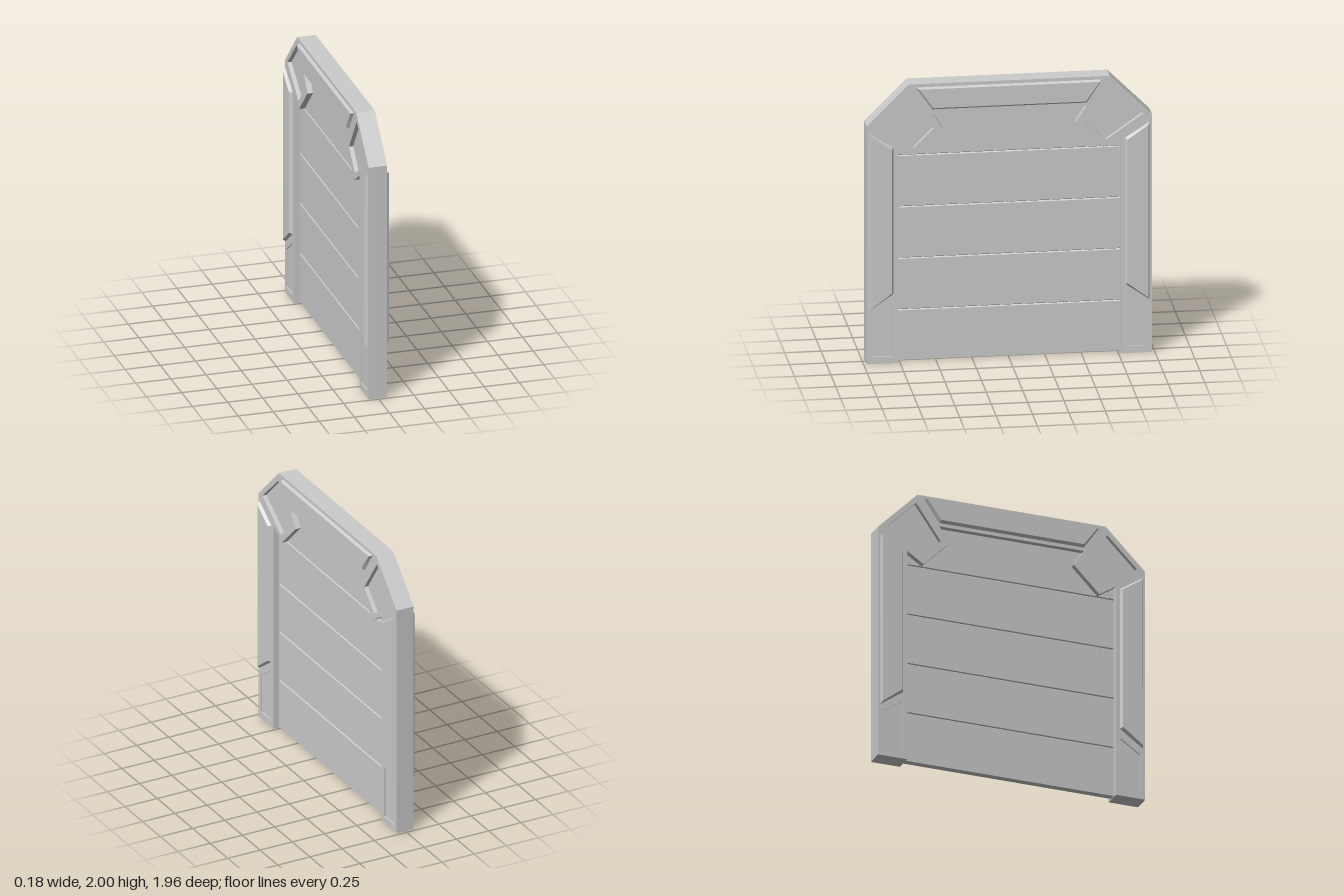
import * as THREE from 'three';

const HALF = 0.066; // half thickness of the frame

export function createModel() {
  const model = new THREE.Group();
  const material = new THREE.MeshStandardMaterial({ color: 0xcccccc, flatShading: true });

  const toPoints = (pts, s = 1) => pts.map(([z, y]) => new THREE.Vector2(z * s, y));

  // Extrudes a (z, y) outline symmetrically through the thickness (x)
  function slab(name, pts, half, { holes = [], bevel = 0, rise = 0 } = {}) {
    const shape = new THREE.Shape(pts);
    holes.forEach((h) => shape.holes.push(new THREE.Path(h)));
    const geometry = new THREE.ExtrudeGeometry(shape, {
      depth: half * 2,
      bevelEnabled: bevel > 0,
      bevelSize: bevel,
      bevelOffset: -bevel,
      bevelThickness: rise,
      bevelSegments: 1,
    });
    geometry.translate(0, 0, -half).rotateY(Math.PI / 2);
    const mesh = new THREE.Mesh(geometry, material);
    mesh.name = name;
    model.add(mesh);
  }

  // Half outline of the arch-shaped frame: outer edge, then inner edge
  const outer = [[0.98, 0], [0.98, 1.71], [0.69, 2]];
  const inner = [[0.53, 1.79], [0.455, 1.676], [0.645, 1.485], [0.765, 1.565], [0.765, 0]];
  const frame = [
    ...toPoints(outer),
    ...toPoints([...outer].reverse(), -1),
    ...toPoints([...inner].reverse(), -1),
    ...toPoints(inner),
  ];

  // Sunken fields in the corner blocks and post feet
  const corner = [[0.92, 1.72], [0.7, 1.937], [0.52, 1.68], [0.66, 1.54]];
  const foot = [[0.945, 0.05], [0.945, 0.33], [0.8, 0.43], [0.8, 0.05]];
  const sidePanel = [[0.963, 0.38], [0.963, 1.66], [0.795, 1.55], [0.795, 0.5]];
  const topPanel = [[0.64, 1.977], [-0.64, 1.977], [-0.53, 1.815], [0.53, 1.815]];
  const raised = { bevel: 0.015, rise: 0.0215 };

  const holes = [1, -1].flatMap((s) => [toPoints(corner, s), toPoints(foot, s)]);
  slab('frame', frame, HALF, { holes });

  for (const s of [1, -1]) {
    slab('cornerRecess', toPoints(corner, s), 0.036);
    slab('footRecess', toPoints(foot, s), 0.056);
    slab('sideRaisedPanel', toPoints(sidePanel, s), HALF, raised);
  }
  slab('topRaisedPanel', toPoints(topPanel), HALF, raised);

  // Recessed door leaf: a cross-section with V-grooves between its slats
  const face = 0.025, groove = 0.006, bottom = 0.008, top = 1.79;
  const side = [[face, bottom]];
  for (let i = 1; i <= 4; i++) {
    const y = i * 0.37;
    side.push([face, y - groove], [face - 0.009, y], [face, y + groove]);
  }
  side.push([face, top]);
  const section = [...toPoints(side), ...toPoints([...side].reverse(), -1)];
  const leaf = new THREE.ExtrudeGeometry(new THREE.Shape(section), { depth: 1.53, bevelEnabled: false });
  leaf.translate(0, 0, -0.765);
  const door = new THREE.Mesh(leaf, material);
  door.name = 'slattedDoorPanel';
  model.add(door);

  return model;
}
